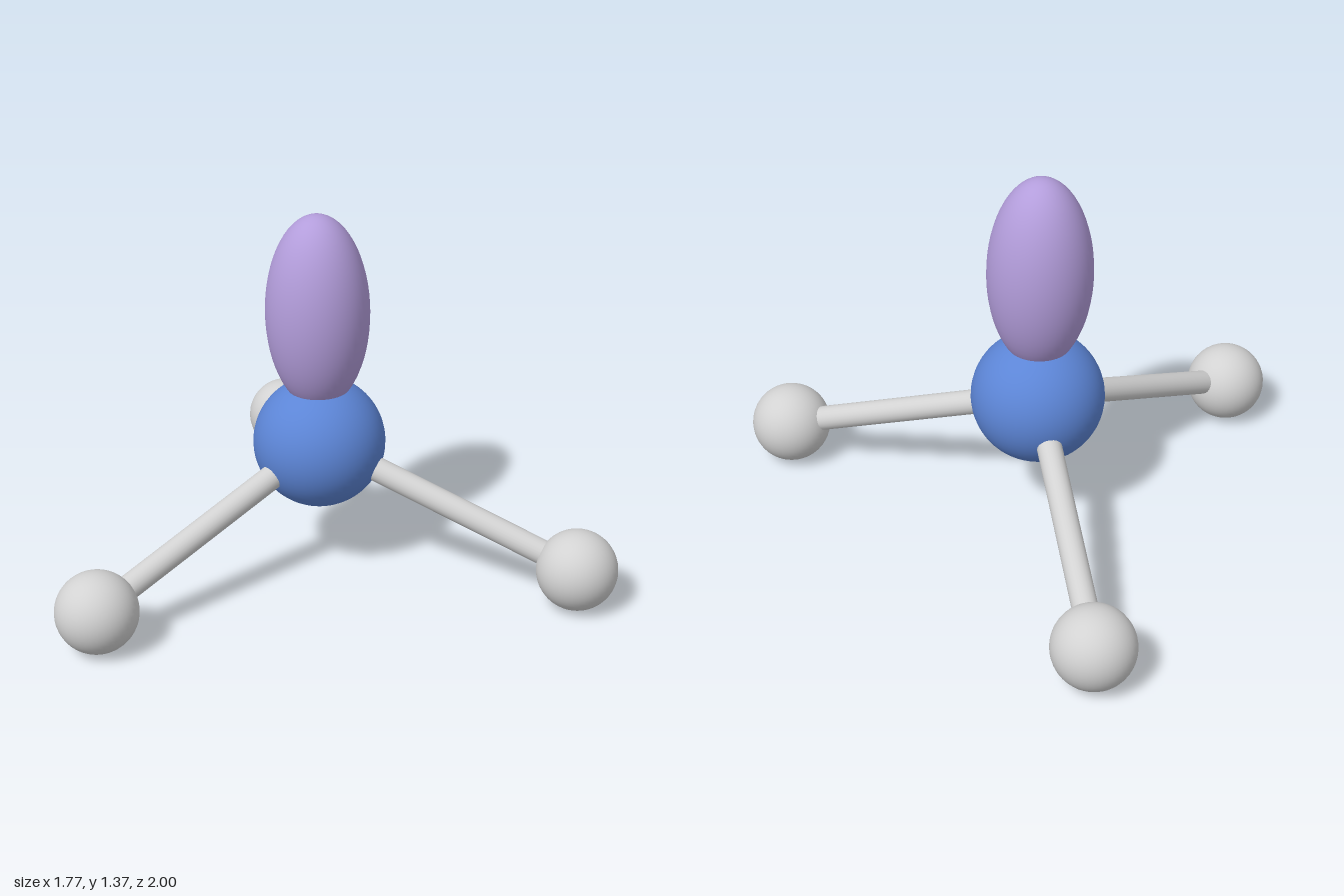
import * as THREE from 'three';

const material = (name, color) => {
  const m = new THREE.MeshStandardMaterial({ color });
  m.name = name;
  return m;
};

export function createModel() {
  const blue = material('blue', 0x5c85d6);
  const purple = material('purple', 0xb39ddb);
  const grey = material('light grey', 0xd2d2d2);

  const model = new THREE.Group();
  model.name = 'pyramidalMolecule';
  const add = (name, geometry, mat, position) => {
    const mesh = new THREE.Mesh(geometry, mat);
    mesh.name = name;
    mesh.position.copy(position);
    model.add(mesh);
    return mesh;
  };

  // Central atom with the upright electron lobe above it
  const center = new THREE.Vector3(-0.246, 0.498, 0);
  add('centralAtom', new THREE.SphereGeometry(0.241, 48, 32), blue, center);
  const lobe = new THREE.SphereGeometry(1, 48, 32).scale(0.187, 0.366, 0.187);
  add('electronLobe', lobe, purple, new THREE.Vector3(center.x, 1.003, 0));

  // Three outer atoms, evenly spread around the vertical axis, each on a bond
  const reach = 0.985, atomRadius = 0.147;
  const up = new THREE.Vector3(0, 1, 0);
  const atomGeometry = new THREE.SphereGeometry(atomRadius, 40, 28);
  for (let i = 0; i < 3; i++) {
    const angle = (i * Math.PI * 2) / 3;
    const end = new THREE.Vector3(
      center.x + reach * Math.cos(angle), atomRadius + 0.001, reach * Math.sin(angle));
    add(`outerAtom${i + 1}`, atomGeometry, grey, end);

    const along = end.clone().sub(center);
    const bond = add(`bond${i + 1}`,
      new THREE.CylinderGeometry(0.045, 0.045, along.length(), 24),
      grey, center.clone().lerp(end, 0.5));
    bond.quaternion.setFromUnitVectors(up, along.normalize());
  }
  return model;
}
